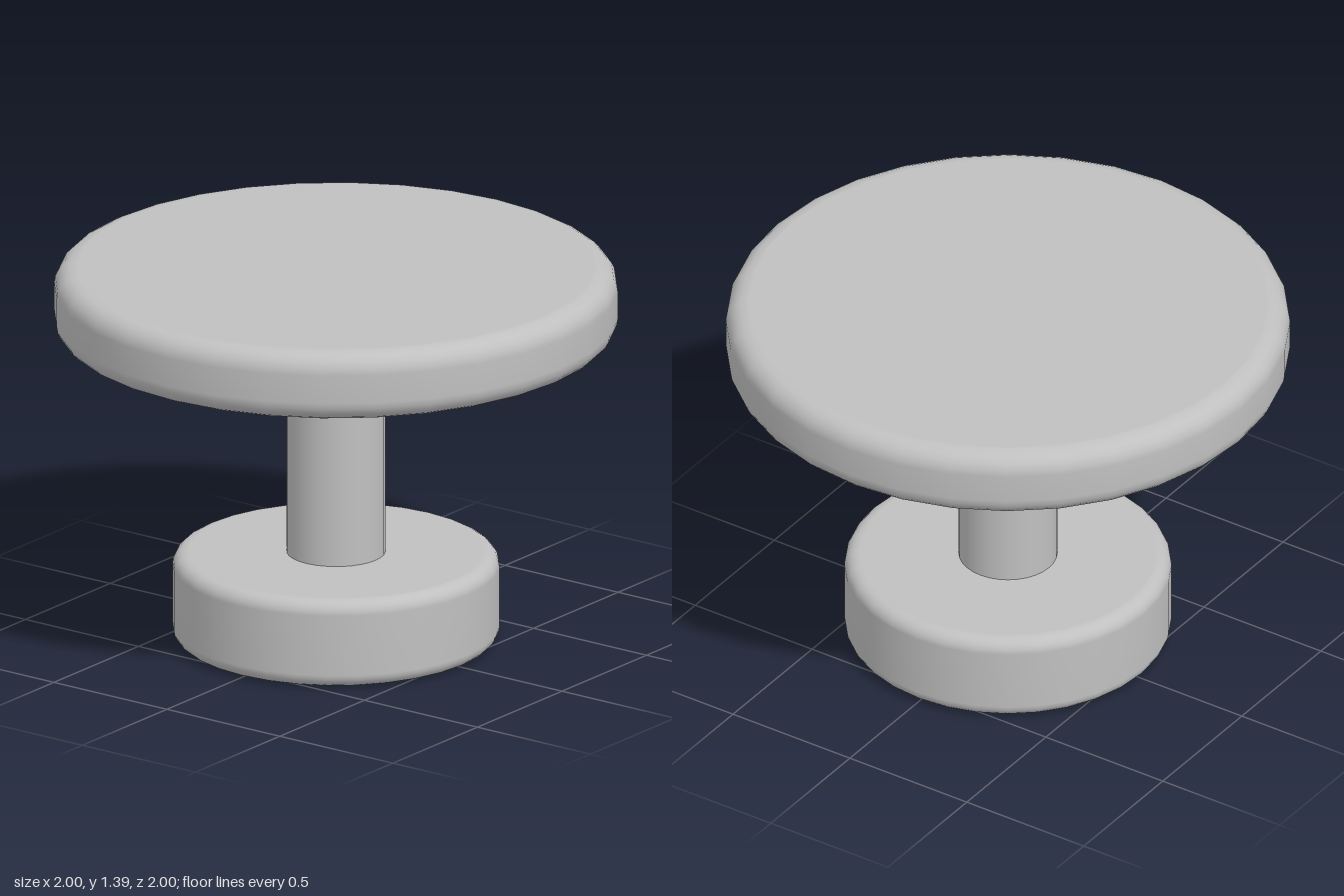
import * as THREE from 'three';

const SEGMENTS = 32;

// Solid disc with rounded upper and lower rims
function roundedDisc(radius, bottom, top, bevel, material, name) {
  const points = [new THREE.Vector2(0, bottom), new THREE.Vector2(radius - bevel - 0.005, bottom)];
  const steps = 5;
  for (const [y, start] of [[bottom + bevel, -Math.PI / 2], [top - bevel, 0]]) {
    for (let i = 0; i <= steps; i++) {
      const a = start + (i / steps) * Math.PI / 2;
      points.push(new THREE.Vector2(radius - bevel + Math.cos(a) * bevel, y + Math.sin(a) * bevel));
    }
  }
  points.push(new THREE.Vector2(radius - bevel - 0.005, top), new THREE.Vector2(0, top));
  const mesh = new THREE.Mesh(new THREE.LatheGeometry(points, SEGMENTS), material);
  mesh.name = name;
  return mesh;
}

export function createModel() {
  const model = new THREE.Group();
  model.name = 'pedestalTable';
  const grey = new THREE.MeshStandardMaterial({ color: 0xc0c0c0 });
  grey.name = 'grey';

  // Round foot and table top
  model.add(roundedDisc(0.58, 0, 0.323, 0.05, grey, 'base'));
  model.add(roundedDisc(1, 1.133, 1.386, 0.075, grey, 'tableTop'));

  // Central post, ends just inside the discs
  const post = new THREE.Mesh(new THREE.CylinderGeometry(0.175, 0.175, 0.85, SEGMENTS), grey);
  post.position.y = 0.728;
  post.name = 'column';
  model.add(post);

  return model;
}
